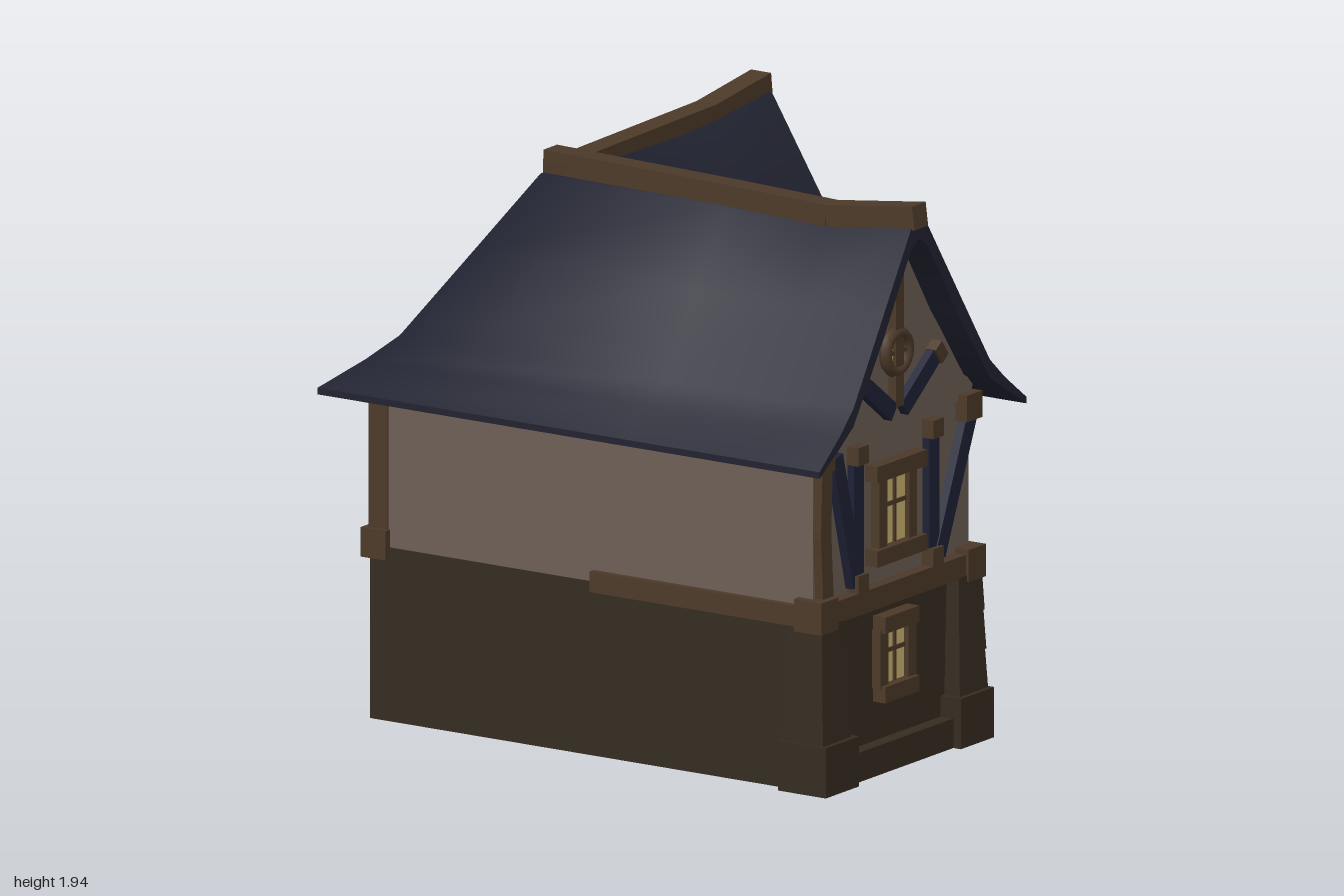
import * as THREE from 'three';
import { toCreasedNormals } from 'three/addons/utils/BufferGeometryUtils.js';

const mat = (name, color, side = THREE.FrontSide) => {
  const m = new THREE.MeshStandardMaterial({ color, side });
  m.name = name;
  return m;
};

export function createModel() {
  const slate = mat('roof slate', 0x212331, THREE.DoubleSide);
  const wood = mat('brown wood', 0x4c3a29);
  const timber = mat('blue timber', 0x1e2135);
  const plaster = mat('plaster', 0x6d5f56, THREE.DoubleSide);
  const stone = mat('stone', 0x352c21, THREE.DoubleSide);
  const glass = mat('lit glass', 0xcdb672);
  const doorWood = mat('door wood', 0x5c4834);

  const house = new THREE.Group();
  house.name = 'house';

  const add = (parent, name, geo, m, x = 0, y = 0, z = 0) => {
    const mesh = new THREE.Mesh(geo, m);
    mesh.name = name;
    mesh.position.set(x, y, z);
    parent.add(mesh);
    return mesh;
  };
  const box = (p, name, m, w, h, d, x, y, z) => add(p, name, new THREE.BoxGeometry(w, h, d), m, x, y, z);
  // Timber between two points in a wall plane
  const bar = (p, name, m, a, b, w, d = 0.04, z = 0.012) => {
    const dx = b[0] - a[0], dy = b[1] - a[1];
    const mesh = box(p, name, m, w, Math.hypot(dx, dy), d, (a[0] + b[0]) / 2, (a[1] + b[1]) / 2, z);
    mesh.rotation.z = -Math.atan2(dx, dy);
    return mesh;
  };
  // Timber between two points in space
  const beam = (p, name, m, a, b, w, h) => {
    const A = new THREE.Vector3(...a), B = new THREE.Vector3(...b);
    const mesh = box(p, name, m, w, h, A.distanceTo(B), 0, 0, 0);
    mesh.position.copy(A).lerp(B, 0.5);
    mesh.lookAt(B);
    return mesh;
  };
  // Flat slab from a plan outline given as [x, -z]
  const slab = (name, m, plan, y, h) => {
    const shape = new THREE.Shape(plan.map(q => new THREE.Vector2(...q)));
    const geo = new THREE.ExtrudeGeometry(shape, { depth: h, bevelEnabled: false }).rotateX(-Math.PI / 2);
    return add(house, name, geo, m, 0, y, 0);
  };
  const tube = (p, name, m, pts, r) =>
    add(p, name, new THREE.TubeGeometry(new THREE.QuadraticBezierCurve3(...pts.map(q => new THREE.Vector3(...q))), 8, r, 6), m);
  // Wall plane: local z points out of the wall
  const facade = (name, x, z, turn) => {
    const g = new THREE.Group();
    g.name = name;
    g.position.set(x, 0, z);
    g.rotation.y = turn;
    house.add(g);
    return g;
  };

  // Roof: concave section (offset, height, thickness) swept round the L with a mitred corner
  const section = [[0, 1.86, 0.06], [0.08, 1.84, 0.07], [0.35, 1.595, 0.08], [0.66, 1.315, 0.06], [0.8, 1.24, 0.04], [1, 1.15, 0.022]];
  const sides = [...section.slice(1).reverse().map(([s, y, t]) => [-s, y, t]), ...section];
  const loop = [...sides, ...sides.slice().reverse().map(([s, y, t]) => [s, y - t])];
  const zOf = s => 0.31 + s * (s > 0 ? 0.58 : 0.63);
  const xOf = s => -0.43 - s * (s > 0 ? 0.57 : 0.55);
  const stations = [
    [s => 0.995, zOf, 0.02], [s => 0.65, zOf, -0.025], [s => 0.25, zOf, -0.01],
    [xOf, zOf, 0],
    [xOf, s => -0.35, -0.01], [xOf, s => -0.55, 0], [xOf, s => -0.86 - 0.03 * Math.abs(s), 0.035],
  ];
  const rings = stations.map(([fx, fz, lift]) =>
    loop.map(([s, y]) => [fx(s), y + lift * (1 - Math.abs(s)), fz(s)]));
  const topTri = [], underTri = [];
  const quad = (out, a, b, c, d) => out.push(...a, ...b, ...c, ...a, ...c, ...d);
  const n = loop.length;
  for (let i = 0; i < rings.length - 1; i++)
    for (let j = 0; j < n; j++) {
      const k = (j + 1) % n;
      quad(j < sides.length - 1 ? topTri : underTri, rings[i][j], rings[i + 1][j], rings[i + 1][k], rings[i][k]);
    }
  for (let j = 0; j < sides.length - 1; j++) {
    const f = rings[0], l = rings[rings.length - 1];
    quad(underTri, f[j], f[j + 1], f[n - 2 - j], f[n - 1 - j]);
    quad(underTri, l[j + 1], l[j], l[n - 1 - j], l[n - 2 - j]);
  }
  for (const [name, tri, crease] of [['roofTop', topTri, 1.5], ['roofUnderside', underTri, 0.5]]) {
    const geo = new THREE.BufferGeometry();
    geo.setAttribute('position', new THREE.Float32BufferAttribute(tri, 3));
    add(house, name, toCreasedNormals(geo, crease), slate);
  }

  // Ridge beams
  const ridge = [[1, 1.897, 0.31], [0.65, 1.853, 0.31], [0.25, 1.865, 0.31], [-0.47, 1.88, 0.31]];
  const ridge2 = [[-0.43, 1.84, 0.35], [-0.43, 1.855, -0.55], [-0.43, 1.88, -0.75], [-0.43, 1.895, -0.87]];
  for (const r of [ridge, ridge2])
    for (let i = 0; i < 3; i++) beam(house, 'ridgeBeam', wood, r[i], r[i + 1], 0.08, 0.08);

  // Hollow L-shaped storeys, open below
  const plan = [[-0.88, 0.76], [0.88, 0.76], [0.88, -0.15], [0.02, -0.15], [0.02, -0.76], [-0.88, -0.76]];
  const storey = (name, m, y0, y1) => plan.forEach(([x, z], i) => {
    const [x2, z2] = plan[(i + 1) % plan.length];
    const wall = add(house, name, new THREE.PlaneGeometry(Math.hypot(x2 - x, z2 - z), y1 - y0), m, (x + x2) / 2, (y0 + y1) / 2, (z + z2) / 2);
    wall.rotation.y = Math.atan2(z - z2, x2 - x);
  });
  storey('groundWall', stone, 0.02, 0.61);
  storey('upperWall', plaster, 0.61, 1.19);

  // Windows
  const squareWindow = (p, y, w, h, lintel) => {
    box(p, 'windowGlass', glass, w, h, 0.008, 0, y, 0.012);
    for (const s of [-1, 1]) {
      box(p, 'windowJamb', wood, 0.045, h + 0.02, 0.04, s * (w / 2 + 0.022), y, 0.014);
      box(p, 'windowLintel', wood, lintel, 0.055, 0.06, 0, y + s * (h / 2 + 0.028), 0.02);
    }
    box(p, 'windowBar', wood, 0.014, h, 0.015, 0, y, 0.015);
    box(p, 'windowBar', wood, w, 0.014, 0.015, 0, y + 0.02, 0.015);
  };
  const roundWindow = (p, y, r) => {
    add(p, 'roundGlass', new THREE.CylinderGeometry(r, r, 0.008, 20), glass, 0, y, 0.024).rotation.x = Math.PI / 2;
    add(p, 'roundFrame', new THREE.TorusGeometry(r, 0.022, 6, 20), wood, 0, y, 0.026);
    box(p, 'windowBar', wood, 0.014, 2 * r, 0.012, 0, y, 0.03);
    box(p, 'windowBar', wood, 2 * r, 0.014, 0.012, 0, y, 0.03);
  };

  // Timbered gable end with stone corner piers; inner is the side next to the porch
  const gableEnd = (p, wl, wr, inner) => {
    const pts = [[-0.45, 1.17], [0.45, 1.17]];
    const half = section.slice(0, 5).map(([s, y, t]) => [s, y - t + 0.012]);
    half.slice().reverse().forEach(([s, y]) => pts.push([Math.min(s * wr, 0.47), y]));
    half.slice(1).forEach(([s, y]) => pts.push([Math.max(-s * wl, -0.47), y]));
    const shape = new THREE.Shape(pts.map(q => new THREE.Vector2(...q)));
    add(p, 'gable', new THREE.ExtrudeGeometry(shape, { depth: 0.07, bevelEnabled: false }), plaster, 0, 0, -0.06);
    box(p, 'kingPost', wood, 0.045, 0.52, 0.04, 0, 1.5, 0.02);
    roundWindow(p, 1.425, 0.065);
    box(p, 'floorBeam', wood, 0.9, 0.075, 0.08, 0, 0.62, 0.005);
    box(p, 'plinth', stone, 0.66, 0.1, 0.06, 0, 0.07, 0.02);
    for (const s of [-1, 1]) {
      bar(p, 'gableBrace', timber, [s * 0.23, 1.375], [s * 0.03, 1.225], 0.06, 0.04, 0.02);
      bar(p, 'braceCap', wood, [s * 0.25, 1.39], [s * 0.215, 1.364], 0.065, 0.06, 0.02);
      if (s === inner) bar(p, 'brace', timber, [s * 0.445, 1.14], [s * 0.25, 0.68], 0.06);
      else {
        bar(p, 'cornerPost', wood, [s * 0.405, 0.65], [s * 0.42, 0.9], 0.06);
        bar(p, 'cornerPost', wood, [s * 0.42, 0.88], [s * 0.41, 1.14], 0.06);
        bar(p, 'brace', timber, [s * 0.35, 1.14], [s * 0.23, 0.68], 0.06);
      }
      box(p, 'postCap', wood, 0.09, 0.09, 0.09, s * 0.43, 1.15, 0);
      box(p, 'beamEnd', wood, 0.1, 0.11, 0.11, s * 0.43, 0.62, 0);
      box(p, 'stud', timber, 0.058, 0.46, 0.035, s * 0.22, 0.9, 0.01);
      for (const y of [1.12, 0.685]) box(p, 'studCap', wood, 0.062, 0.062, 0.07, s * 0.22, y, 0.01);
      // Piers: wide foot and three tapering courses
      box(p, 'pierFoot', stone, 0.195, 0.17, 0.19, s * 0.395, 0.105, -0.015);
      for (let i = 0; i < 3; i++) {
        const r = (0.165 - i * 0.008) / Math.SQRT2;
        const course = new THREE.CylinderGeometry(r * 0.91, r, 0.135, 4, 1).rotateY(Math.PI / 4);
        add(p, 'pierCourse', toCreasedNormals(course, 0.5), stone, s * 0.4, 0.255 + i * 0.133, -0.02);
      }
    }
  };
  const east = facade('sideGable', 0.88, 0.31, Math.PI / 2);
  gableEnd(east, 0.58, 0.63, 1);
  squareWindow(east, 0.895, 0.13, 0.23, 0.29);
  squareWindow(east, 0.4, 0.12, 0.18, 0.2);
  const back = facade('backGable', -0.43, -0.76, Math.PI);
  gableEnd(back, 0.55, 0.57, -1);
  roundWindow(back, 0.92, 0.1);
  squareWindow(back, 0.4, 0.08, 0.17, 0.19);
  for (const y of [0.75, 1.1]) box(back, 'rail', timber, 0.44, 0.045, 0.035, 0, y, 0.01);

  // Beams and post on the plain sides
  box(house, 'frontBeam', wood, 0.88, 0.07, 0.06, 0.45, 0.615, 0.755);
  box(house, 'leftBeam', wood, 0.06, 0.07, 1.5, -0.875, 0.615, 0);
  box(house, 'cornerBlock', wood, 0.1, 0.1, 0.1, -0.85, 0.62, 0.735);
  box(house, 'cornerPost', wood, 0.075, 0.5, 0.075, -0.843, 0.9, 0.73);

  // Triangular balcony over the inner corner
  slab('balconyFloor', wood, [[0.02, 0.15], [0.88, 0.15], [0.02, 0.755]], 0.58, 0.04);
  beam(house, 'balconyBeam', wood, [0.88, 0.62, -0.155], [0.02, 0.62, -0.735], 0.06, 0.075);

  // Angled bay in the inner corner
  slab('bay', plaster, [[0.02, 0.15], [0.43, 0.15], [0.02, 0.43]], 0.61, 0.5);
  slab('bayRoof', timber, [[0.02, 0.15], [0.48, 0.15], [0.42, 0.37], [0.28, 0.465], [0.02, 0.42]], 1.1, 0.025);
  const bayFace = facade('bayFront', 0.215, -0.295, Math.PI - 0.594);
  squareWindow(bayFace, 0.9, 0.09, 0.16, 0.14);
  for (const s of [-1, 1]) box(bayFace, 'bayPost', timber, 0.05, 0.48, 0.04, s * 0.22, 0.86, 0.01);
  for (const y of [0.72, 1.075]) box(bayFace, 'bayRail', timber, 0.44, 0.05, 0.035, 0, y, 0.01);

  // Timbers on the inner walls
  const innerBack = facade('innerBackWall', 0.02, -0.6, Math.PI / 2);
  const innerSide = facade('innerSideWall', 0.66, -0.15, Math.PI);
  for (const [p, s] of [[innerBack, 1], [innerSide, -1]]) {
    box(p, 'stud', timber, 0.055, 0.5, 0.035, -s * 0.1, 0.88, 0.01);
    bar(p, 'brace', timber, [s * 0.1, 1.13], [-s * 0.02, 0.68], 0.055);
    box(p, 'rail', timber, 0.3, 0.045, 0.03, 0, 0.69, 0.01);
  }

  // Arched door with canopy, lamp, curved brackets and step
  const door = facade('doorway', 0.27, -0.15, Math.PI);
  const arch = new THREE.Shape();
  arch.moveTo(-0.085, 0.03);
  arch.lineTo(0.085, 0.03);
  arch.lineTo(0.085, 0.3);
  arch.absarc(0, 0.3, 0.085, 0, Math.PI, false);
  add(door, 'door', new THREE.ExtrudeGeometry(arch, { depth: 0.012, bevelEnabled: false }), doorWood);
  add(door, 'doorArch', new THREE.TorusGeometry(0.1, 0.025, 6, 14, Math.PI), stone, 0, 0.3, 0.01);
  for (const s of [-1, 1]) {
    box(door, 'doorJamb', stone, 0.045, 0.28, 0.05, s * 0.1, 0.16, 0.01);
    tube(door, 'bracket', wood, [[s * 0.19, 0.42, 0], [s * 0.19, 0.52, 0.05], [s * 0.19, 0.56, 0.24]], 0.022);
  }
  box(door, 'canopy', timber, 0.36, 0.04, 0.2, 0, 0.55, 0.1);
  box(door, 'doorLamp', wood, 0.045, 0.06, 0.045, -0.17, 0.41, 0.06);
  box(house, 'doorStep', stone, 0.43, 0.03, 0.22, 0.275, 0.015, -0.25);

  // Hanging round sign on its pole
  const sign = new THREE.Group();
  sign.name = 'hangingSign';
  sign.position.x = 0.4;
  house.add(sign);
  box(sign, 'signPole', wood, 0.04, 0.05, 0.6, 0, 0.945, -0.455);
  tube(sign, 'signStrut', wood, [[0, 0.79, -0.16], [0, 0.81, -0.36], [0, 0.93, -0.45]], 0.022);
  for (const z of [-0.55, -0.67]) box(sign, 'signHanger', wood, 0.012, 0.1, 0.012, 0, 0.88, z);
  const turned = (r, t) => new THREE.CylinderGeometry(r, r, t, 24).rotateZ(Math.PI / 2);
  add(sign, 'signBoard', turned(0.12, 0.04), timber, 0, 0.745, -0.61);
  add(sign, 'signFace', turned(0.118, 0.008), plaster, 0.022, 0.745, -0.61);
  add(sign, 'signRim', new THREE.TorusGeometry(0.122, 0.018, 6, 24).rotateY(Math.PI / 2), wood, 0, 0.745, -0.61);

  return house;
}
